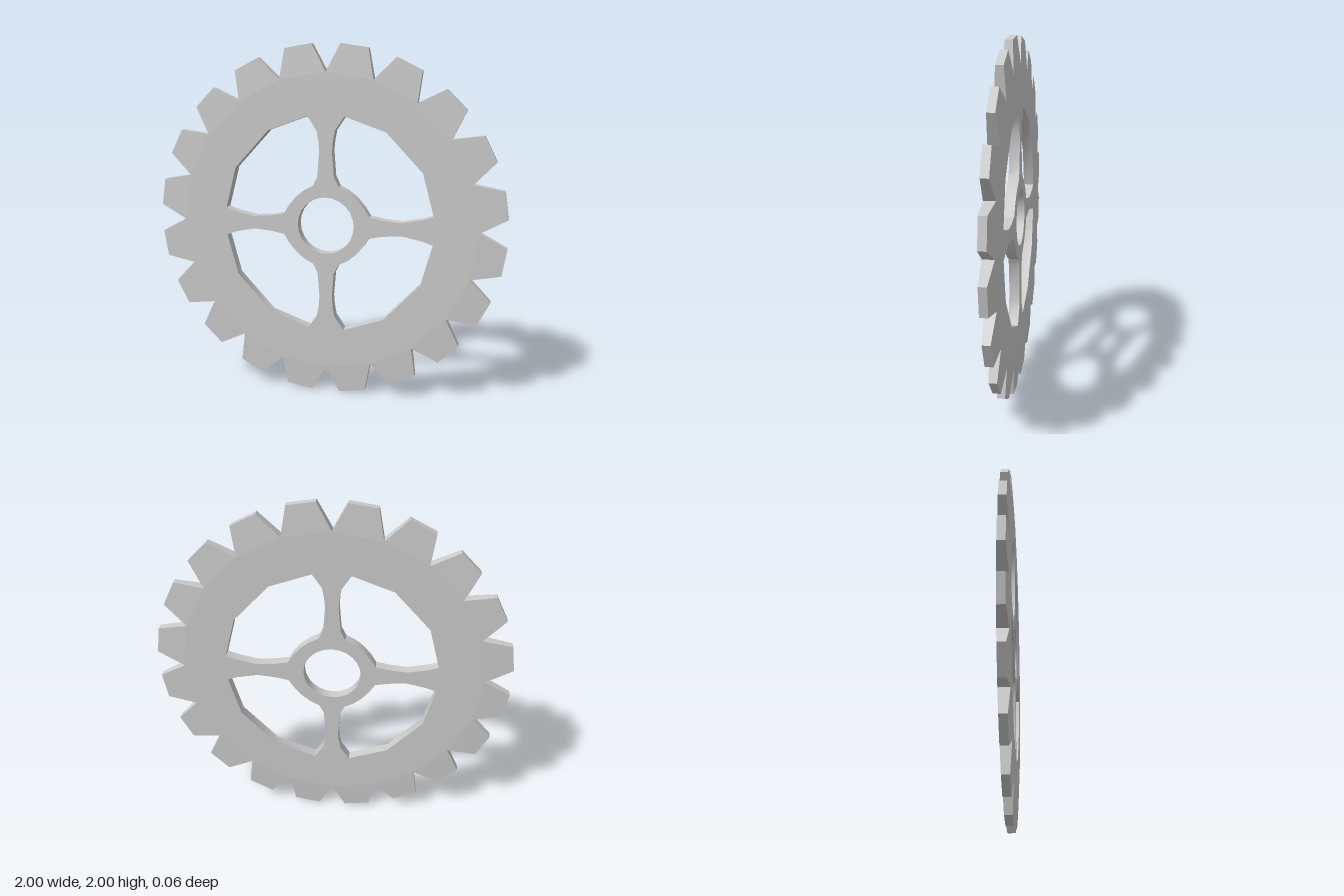
import * as THREE from 'three';
import { toCreasedNormals } from 'three/addons/utils/BufferGeometryUtils.js';

const TEETH = 20, ROOT = 0.85, TIP = 1.0032;
const HALF = 0.03, TIP_HALF = 0.021;      // half thickness at body and tooth tip
const PITCH = Math.PI * 2 / TEETH, TIP_ANGLE = 4.4 * Math.PI / 180;

// One quarter window between two spokes: rim side, then spoke, hub, spoke
const WINDOW = [
  [0.105, 0.612], [0.337, 0.53], [0.54, 0.315], [0.604, 0.08],
  [0.545, 0.06], [0.43, 0.037], [0.33, 0.045], [0.25, 0.06], [0.22, 0.107],
  [0.175, 0.16], [0.128, 0.198], [0.075, 0.225], [0.048, 0.278],
  [0.037, 0.42], [0.042, 0.48], [0.053, 0.535],
];

function ring(radius, sides) {
  return Array.from({ length: sides }, (_, i) => {
    const a = i / sides * Math.PI * 2;
    return new THREE.Vector2(radius * Math.cos(a), radius * Math.sin(a));
  });
}

// Flat plate with four windows and the axle hole
function bodyGeometry() {
  const shape = new THREE.Shape(ring(ROOT, TEETH));
  shape.holes.push(new THREE.Path(ring(0.162, 24)));
  for (const sx of [1, -0.98]) {
    for (const sy of [1, -1]) {
      shape.holes.push(new THREE.Path(WINDOW.map(([x, y]) => new THREE.Vector2(x * sx, y * sy))));
    }
  }
  const geo = new THREE.ExtrudeGeometry(shape, { depth: HALF * 2, bevelEnabled: false });
  geo.translate(0, 0, -HALF);
  return toCreasedNormals(geo, 0.5);
}

// A box whose corners move to the tooth root and its narrower, thinner tip
function toothGeometry() {
  const geo = new THREE.BoxGeometry(1, 1, 1);
  const p = geo.attributes.position;
  for (let i = 0; i < p.count; i++) {
    const tip = p.getY(i) > 0;
    const a = Math.sign(p.getX(i)) * (tip ? TIP_ANGLE : PITCH / 2);
    const r = tip ? TIP : ROOT;
    p.setXYZ(i, r * Math.sin(a), r * Math.cos(a), Math.sign(p.getZ(i)) * (tip ? TIP_HALF : HALF));
  }
  geo.computeVertexNormals();
  return geo;
}

export function createModel() {
  const material = new THREE.MeshStandardMaterial({ color: 0xcccccc });
  const gear = new THREE.Group();
  gear.name = 'gear';
  gear.position.y = 1;

  const body = new THREE.Mesh(bodyGeometry(), material);
  body.name = 'spokedBody';
  gear.add(body);

  // Teeth around the rim
  const teeth = new THREE.Group();
  teeth.name = 'teeth';
  const tooth = toothGeometry();
  for (let i = 0; i < TEETH; i++) {
    const mesh = new THREE.Mesh(tooth, material);
    mesh.name = 'tooth';
    mesh.rotation.z = (i + 0.5) * PITCH;
    teeth.add(mesh);
  }
  gear.add(teeth);

  const model = new THREE.Group();
  model.add(gear);
  return model;
}
